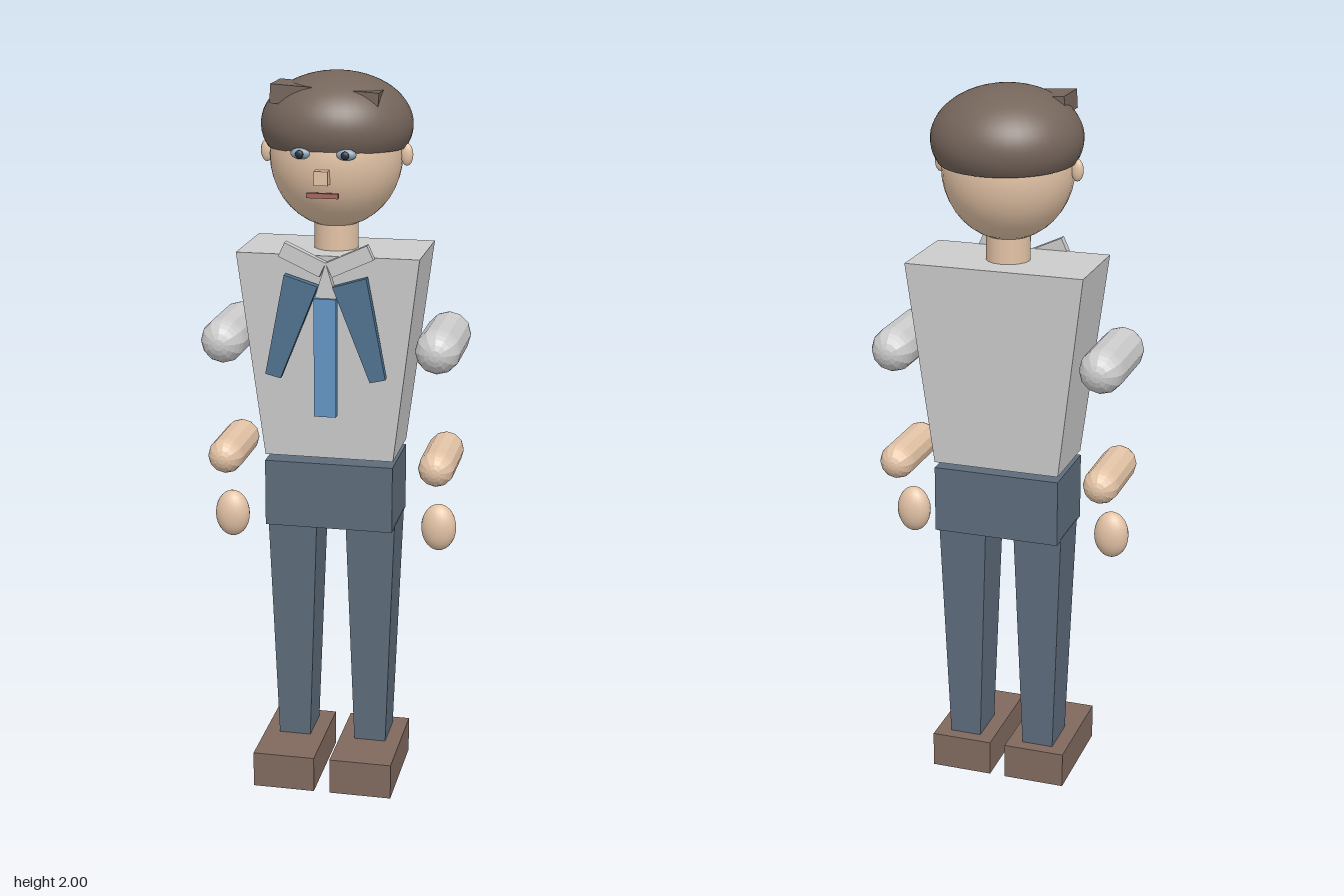
import * as THREE from 'three';

const material = (color, flatShading = false) =>
  new THREE.MeshStandardMaterial({ color, flatShading, side: THREE.DoubleSide });

export function createModel() {
  const model = new THREE.Group();
  const grey = material(0xcccccc, true);
  const skin = material(0xe3c3a6);
  const skinFlat = material(0xe3c3a6, true);
  const hairMat = material(0x75655b);
  const hairFlat = material(0x75655b, true);
  const trousers = material(0x5d6c7b, true);
  const leather = material(0x80695e, true);
  const lapelBlue = material(0x4f728f, true);
  const tieBlue = material(0x6495c4, true);
  const dark = material(0x26313c);
  const eyeBlue = material(0x8fa5b8);
  const lipRed = material(0xa8675f, true);

  const add = (name, geometry, mat, x = 0, y = 0, z = 0) => {
    const mesh = new THREE.Mesh(geometry, mat);
    mesh.name = name;
    mesh.position.set(x, y, z);
    model.add(mesh);
    return mesh;
  };

  // Box between two heights, with its own width and depth at each end
  const taperedBox = (bottom, top, y0, y1) => {
    const g = new THREE.BoxGeometry(1, y1 - y0, 1);
    const p = g.attributes.position;
    for (let i = 0; i < p.count; i++) {
      const [w, d] = p.getY(i) > 0 ? top : bottom;
      p.setXYZ(i, p.getX(i) * w, p.getY(i) + (y0 + y1) / 2, p.getZ(i) * d);
    }
    g.computeVertexNormals();
    return g;
  };

  const ellipsoid = (rx, ry, rz, w = 32, h = 20) =>
    new THREE.SphereGeometry(1, w, h).scale(rx, ry, rz);

  // Flat outline given thickness along z
  const slab = (points, depth) =>
    new THREE.ExtrudeGeometry(
      new THREE.Shape(points.map(([x, y]) => new THREE.Vector2(x, y))),
      { depth, bevelEnabled: false });

  // Trunk
  add('pelvis', new THREE.BoxGeometry(0.356, 0.187, 0.222), trousers, 0, 0.853, 0);
  add('torso', taperedBox([0.356, 0.215], [0.496, 0.257], 0.963, 1.53), grey, 0, 0, -0.003);
  add('neck', new THREE.CylinderGeometry(0.06, 0.06, 0.12, 16), skin, 0, 1.58, 0);

  // Tie
  add('tie', new THREE.BoxGeometry(0.06, 0.325, 0.024), tieBlue, 0, 1.257, 0.143);
  add('tieKnot', slab([[-0.03, 1.418], [0.03, 1.418], [0, 1.515]], 0.02), grey, 0, 0, 0.125);

  // Head and face
  add('head', ellipsoid(0.178, 0.194, 0.178), skin, 0, 1.781, 0);
  add('nose', new THREE.BoxGeometry(0.036, 0.037, 0.037), skinFlat, 0, 1.748, 0.185);
  add('mouth', new THREE.BoxGeometry(0.084, 0.013, 0.012), lipRed, 0, 1.7, 0.18);

  // Hair cap and fringe
  const hair = add('hair',
    new THREE.SphereGeometry(1, 40, 20, 0, Math.PI * 2, 0, Math.PI * 0.64).scale(0.203, 0.14, 0.2),
    hairMat, 0, 1.86, -0.01);
  hair.rotation.x = -0.04;
  const fringe = add('fringe', new THREE.BoxGeometry(0.287, 0.05, 0.115), hairFlat, -0.01, 1.942, 0.057);
  fringe.rotation.z = -0.06;

  // Mirrored parts
  for (const s of [1, -1]) {
    const side = s > 0 ? 'left' : 'right';
    add(side + 'Leg', taperedBox([0.09, 0.125], [0.138, 0.153], 0.1, 0.765), trousers, s * 0.11, 0, -0.002);
    add(side + 'Shoe', new THREE.BoxGeometry(0.175, 0.102, 0.31), leather, s * 0.11, 0.051, 0.054);

    const upperArm = add(side + 'UpperArm', new THREE.CapsuleGeometry(0.062, 0.19, 6, 12), grey, s * 0.295, 1.277, -0.005);
    const forearm = add(side + 'Forearm', new THREE.CapsuleGeometry(0.05, 0.175, 6, 12), skinFlat, s * 0.295, 0.946, -0.002);
    upperArm.rotation.x = forearm.rotation.x = Math.PI / 2;
    add(side + 'Hand', ellipsoid(0.049, 0.067, 0.037, 20, 14), skin, s * 0.295, 0.755, 0.025);

    add(side + 'Ear', ellipsoid(0.017, 0.03, 0.012, 12, 8), skin, s * 0.19, 1.785, 0);
    add(side + 'Eye', ellipsoid(0.027, 0.015, 0.013, 16, 10), eyeBlue, s * 0.06, 1.806, 0.168);
    add(side + 'Pupil', ellipsoid(0.011, 0.011, 0.006, 12, 8), dark, s * 0.06, 1.806, 0.184);

    const lapel = [[0.111, 1.48], [0.02, 1.452], [0.122, 1.196], [0.164, 1.206]];
    add(side + 'Lapel', slab(lapel.map(([x, y]) => [s * x, y]), 0.024), lapelBlue, 0, 0, 0.13);
    const collar = add(side + 'Collar', new THREE.BoxGeometry(0.122, 0.042, 0.024), grey, s * 0.064, 1.521, 0.133);
    collar.rotation.z = s * 0.43;
  }
  return model;
}
